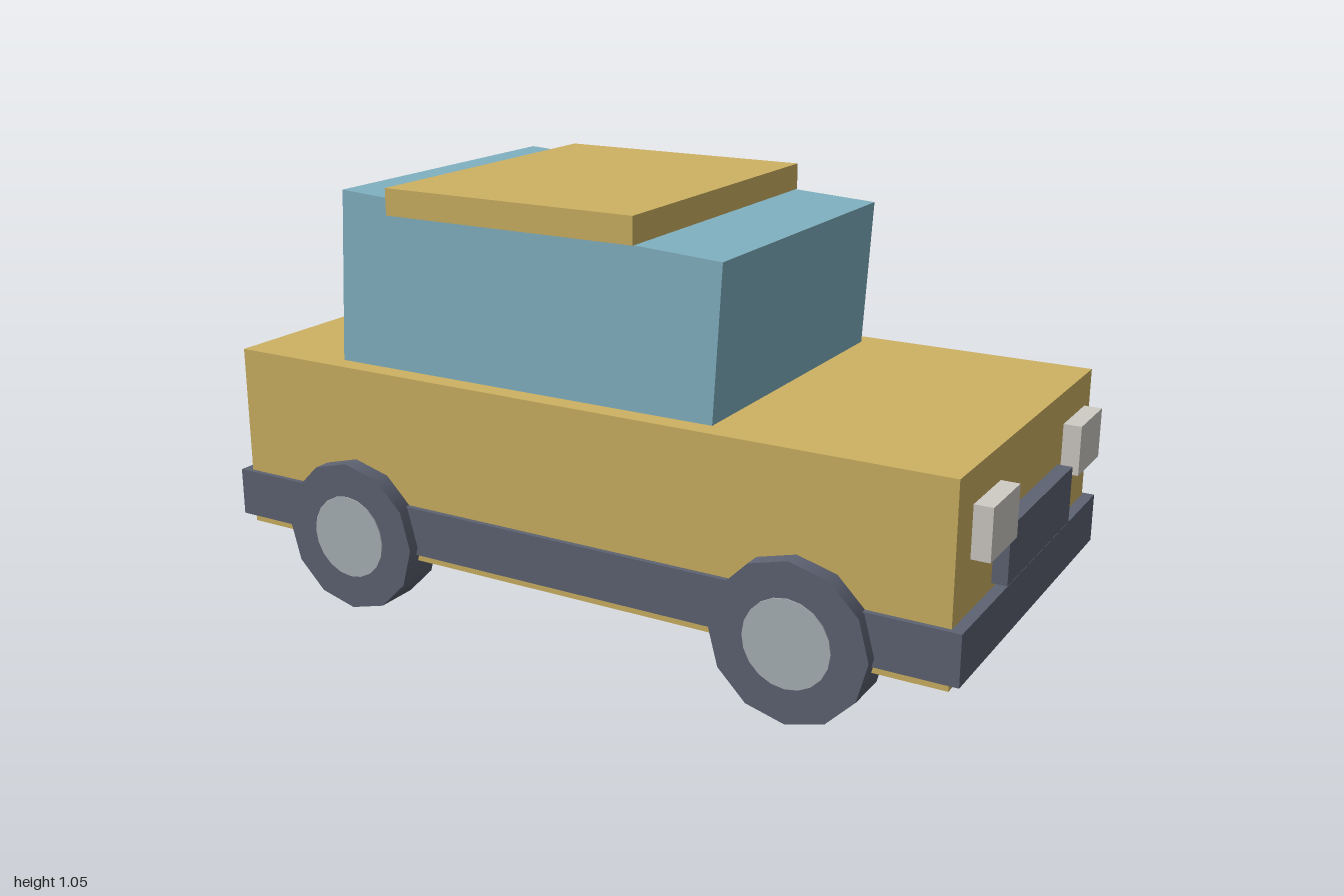
import * as THREE from 'three';

const material = (name, color) => {
  const m = new THREE.MeshStandardMaterial({ color });
  m.name = name;
  return m;
};

export function createModel() {
  const car = new THREE.Group();
  car.name = 'car';

  const paint = material('mustardPaint', 0xceb262);
  const glass = material('blueGlass', 0x82b3c3);
  const rubber = material('darkRubber', 0x5e6373);
  const metal = material('hubMetal', 0xaab4b9);
  const lamp = material('headlightLens', 0xcfccc5);
  const redLamp = material('taillightLens', 0xc67d70);

  // Box given by its minimum and maximum corners
  const addBox = (name, mat, [x0, y0, z0], [x1, y1, z1]) => {
    const mesh = new THREE.Mesh(new THREE.BoxGeometry(x1 - x0, y1 - y0, z1 - z0), mat);
    mesh.position.set((x0 + x1) / 2, (y0 + y1) / 2, (z0 + z1) / 2);
    mesh.name = name;
    car.add(mesh);
    return mesh;
  };

  // Body, wraparound bumper, grille and roof panel
  addBox('body', paint, [-0.95, 0.15, -0.45], [0.95, 0.613, 0.45]);
  addBox('bumper', rubber, [-0.977, 0.17, -0.463], [0.977, 0.29, 0.463]);
  addBox('grille', rubber, [0.94, 0.304, -0.217], [0.986, 0.44, 0.217]);
  addBox('roof', paint, [-0.505, 0.99, -0.406], [0.172, 1.055, 0.406]);

  // Cabin, tipped slightly forward and sunk into the body
  const cabin = addBox('cabin', glass, [-0.655, 0.508, -0.4], [0.375, 1.008, 0.4]);
  cabin.rotation.z = -0.06;

  // Lamps, mirrored across the car
  for (const s of [-1, 1]) {
    const z = (a, b) => (s > 0 ? [a, b] : [-b, -a]);
    const [h0, h1] = z(0.218, 0.382);
    addBox('headlight', lamp, [0.957, 0.42, h0], [1, 0.54, h1]);
    const [t0, t1] = z(0.232, 0.367);
    addBox('taillight', redLamp, [-1, 0.4, t0], [-0.957, 0.525, t1]);
  }

  // Wheels: twelve-sided tyre with a hub showing on both faces
  const tyreGeometry = new THREE.CylinderGeometry(0.19, 0.19, 0.11, 12).rotateX(Math.PI / 2);
  const hubGeometry = new THREE.CylinderGeometry(0.105, 0.105, 0.116, 20).rotateX(Math.PI / 2);
  for (const x of [-0.6, 0.6]) {
    for (const z of [-0.437, 0.437]) {
      const wheel = new THREE.Group();
      wheel.name = 'wheel';
      const tyre = new THREE.Mesh(tyreGeometry, rubber);
      tyre.name = 'tyre';
      const hub = new THREE.Mesh(hubGeometry, metal);
      hub.name = 'hub';
      wheel.add(tyre, hub);
      wheel.position.set(x, 0.19, z);
      car.add(wheel);
    }
  }

  return car;
}
